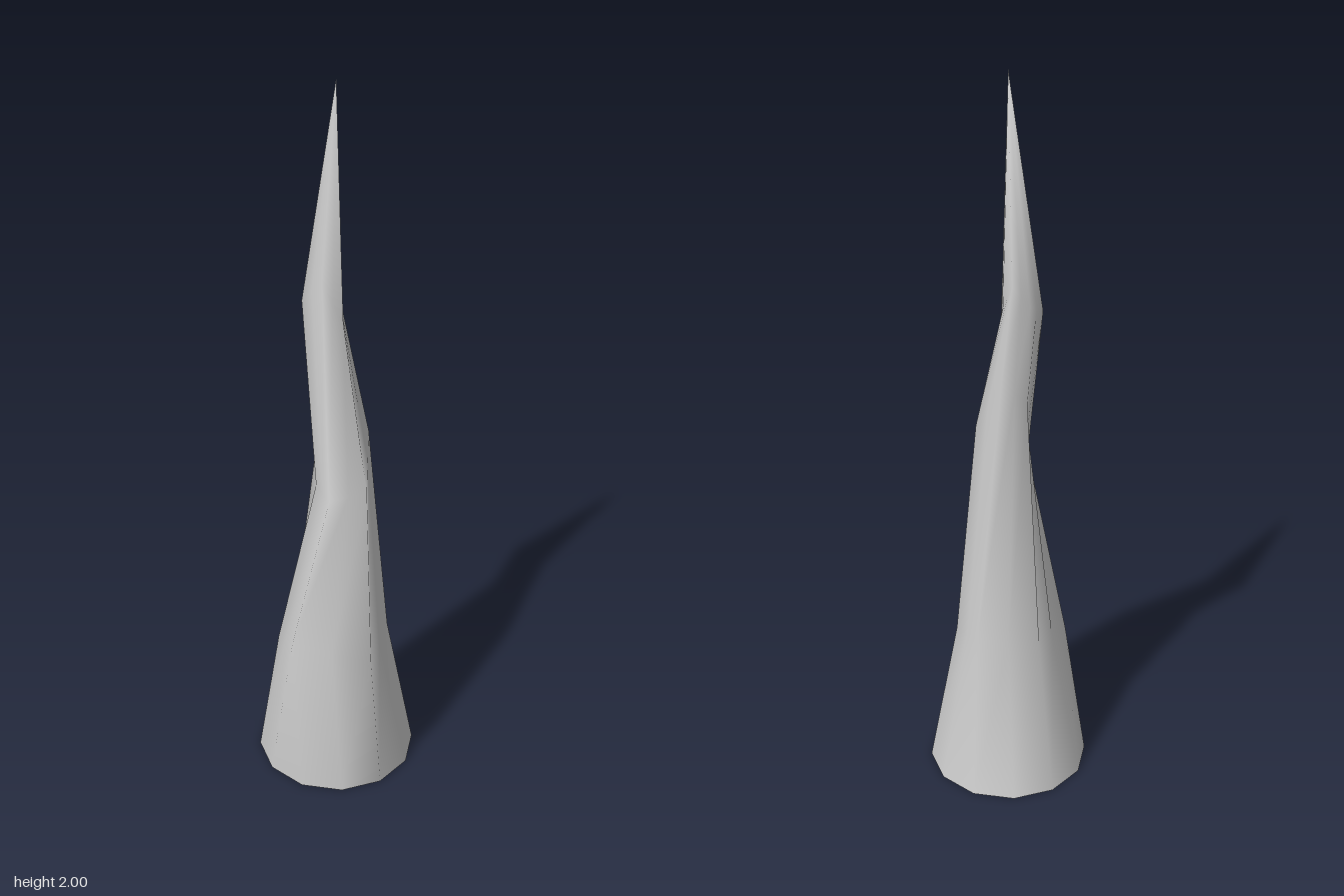
import * as THREE from 'three';

// Six corners per cross-section, [x, y, z], running from +x towards +z
const sections = [
  [[0.17, 0.42, 0.135], [-0.03, 0.48, 0.21], [-0.13, 0.4, 0.1], [-0.11, 0.4, -0.03], [0.03, 0.45, -0.13], [0.13, 0.42, -0.06]],
  [[0.12, 0.92, 0.065], [0.05, 0.92, 0.145], [-0.01, 0.93, 0.1], [-0.055, 1.13, 0.0], [-0.01, 1.2, -0.06], [0.08, 1.05, -0.03]],
  [[0.02, 1.36, 0], [-0.025, 1.48, 0.03], [-0.1, 1.4, -0.005], [-0.08, 1.42, -0.04], [-0.045, 1.48, -0.07], [0, 1.4, -0.03]],
];
const SIDES = 12;
const BASE_RADIUS = 0.222;

// Add the midpoint of every side, so six corners become twelve
function subdivide(corners) {
  return corners.flatMap((p, i) => {
    const q = corners[(i + 1) % corners.length];
    return [p, p.map((v, k) => (v + q[k]) / 2)];
  });
}

export function createModel() {
  const group = new THREE.Group();
  group.name = 'twistedSpike';
  const material = new THREE.MeshStandardMaterial({ color: 0xcccccc });

  // Regular foot ring, then the bent and tilted sections
  const foot = Array.from({ length: SIDES }, (_, i) => {
    const a = ((i + 1) * Math.PI * 2) / SIDES;
    return [BASE_RADIUS * Math.cos(a), 0, BASE_RADIUS * Math.sin(a)];
  });
  const rings = [foot, ...sections.map(subdivide)];
  const positions = [...rings.flat(), [0, 2, 0]].flat();

  const index = [];
  const last = rings.length - 1;
  const tip = rings.length * SIDES;
  for (let j = 0; j <= last; j++) {
    for (let i = 0; i < SIDES; i++) {
      const a = j * SIDES + i;
      const b = j * SIDES + ((i + 1) % SIDES);
      if (j === last) index.push(a, tip, b);
      else index.push(a, a + SIDES, b, b, a + SIDES, b + SIDES);
    }
  }
  const geometry = new THREE.BufferGeometry();
  geometry.setAttribute('position', new THREE.Float32BufferAttribute(positions, 3));
  geometry.setIndex(index);
  geometry.computeVertexNormals();
  const spike = new THREE.Mesh(geometry, material);
  spike.name = 'spike';
  group.add(spike);

  // Underside
  const cap = new THREE.Mesh(new THREE.CircleGeometry(BASE_RADIUS, SIDES).rotateX(Math.PI / 2), material);
  cap.name = 'bottomCap';
  group.add(cap);

  return group;
}
